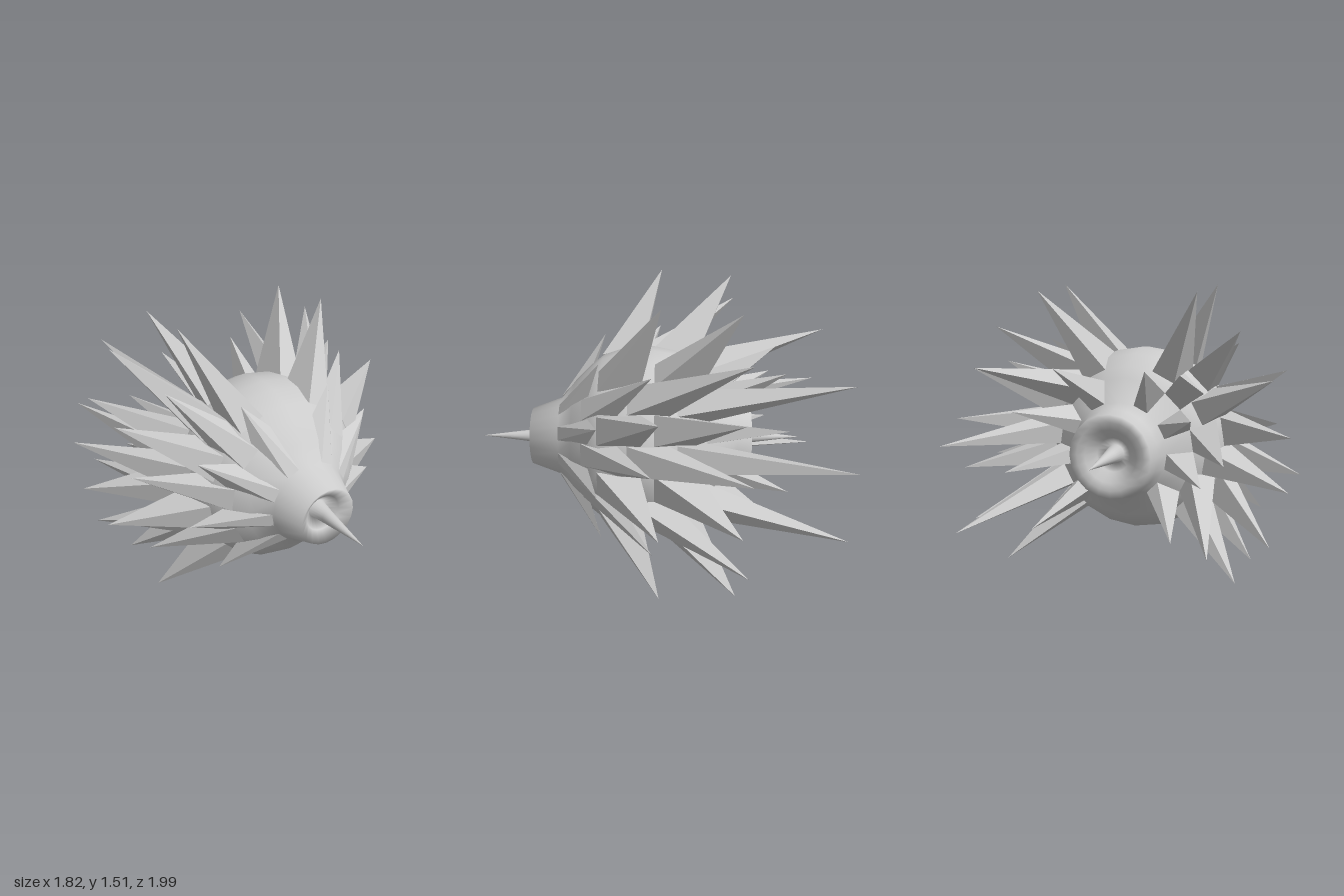
import * as THREE from 'three';

const CENTER_Y = 0.655;
const STEP = 18; // degrees per body facet (20 sides)

// Body profile [radius, z], from the tail horn tip to the nose horn tip;
// each horn rises from a hollow in the blunt end
const PROFILE = [
  [0, -0.81], [0.036, -0.52], [0.048, -0.43], [0.09, -0.46], [0.14, -0.51], [0.18, -0.52], [0.22, -0.52],
  [0.235, -0.44], [0.26, -0.37], [0.375, -0.27],
  [0.43, -0.21], [0.49, -0.1], [0.512, 0.01], [0.515, 0.08], [0.505, 0.18], [0.465, 0.3], [0.41, 0.37],
  [0.32, 0.46], [0.22, 0.54], [0.16, 0.705], [0.1, 0.66], [0.05, 0.61], [0.036, 0.705], [0, 0.995],
];

// Two staggered sets of columns, in degrees around the body
const OUTER = [63, 27, -9, -45];
const BETWEEN = [45, 9, -27];

// Rows of spikes: front and back edge of the base, tip, and the uppermost tip where longer; all [radius, z]
const ROWS = [
  { name: 'frontSpikes', columns: OUTER, front: [0.23, 0.54], back: [0.42, 0.36], tip: [0.59, 0.3] },
  { name: 'upperFrontSpikes', columns: BETWEEN, front: [0.385, 0.4], back: [0.5, 0.2], tip: [0.78, 0.02] },
  { name: 'shoulderSpikes', columns: OUTER, front: [0.465, 0.31], back: [0.515, 0.08], tip: [0.92, -0.015], top: [0.97, -0.025] },
  { name: 'middleSpikes', columns: BETWEEN, front: [0.51, 0.15], back: [0.5, -0.07], tip: [0.915, -0.465] },
  { name: 'flankSpikes', columns: OUTER, front: [0.512, 0.01], back: [0.43, -0.21], tip: [0.905, -0.42], top: [0.935, -0.425] },
  { name: 'longRearSpikes', columns: BETWEEN, front: [0.485, -0.11], back: [0.375, -0.27], tip: [0.695, -0.995] },
  { name: 'rearSpikes', columns: OUTER, front: [0.375, -0.27], back: [0.26, -0.37], tip: [0.52, -0.68] },
];

// Point on a circle around the body axis
function polar(deg, [r, z]) {
  const a = THREE.MathUtils.degToRad(deg);
  return new THREE.Vector3(r * Math.cos(a), r * Math.sin(a), z);
}

// Four-sided spike raised from one body facet
function addSpike(out, deg, row, tip) {
  const h = STEP / 2;
  const base = [
    polar(deg - h, row.front), polar(deg + h, row.front),
    polar(deg + h, row.back), polar(deg - h, row.back),
  ];
  const apex = polar(deg, tip);
  base.forEach((p, i) => out.push(base[(i + 1) % 4], p, apex));
}

export function createModel() {
  const model = new THREE.Group();
  model.name = 'spikyCreature';
  const smooth = new THREE.MeshStandardMaterial({ color: 0xcccccc, side: THREE.DoubleSide });
  const flat = new THREE.MeshStandardMaterial({ color: 0xcccccc, side: THREE.DoubleSide, flatShading: true });

  const add = (name, geometry, material) => {
    const mesh = new THREE.Mesh(geometry, material);
    mesh.name = name;
    mesh.position.y = CENTER_Y;
    model.add(mesh);
  };

  // Rounded body with a blunt snout and tail
  const body = new THREE.LatheGeometry(PROFILE.map(([r, z]) => new THREE.Vector2(r, z)), 20);
  add('body', body.rotateX(Math.PI / 2), smooth);

  // Rows of spikes on both flanks, leaving back and belly bare
  for (const row of ROWS) {
    const points = [];
    row.columns.forEach((deg, i) => {
      const tip = i === 0 && row.top ? row.top : row.tip;
      addSpike(points, deg, row, tip);
      addSpike(points, 180 - deg, row, tip);
    });
    const geometry = new THREE.BufferGeometry().setFromPoints(points);
    geometry.computeVertexNormals();
    add(row.name, geometry, flat);
  }
  return model;
}
